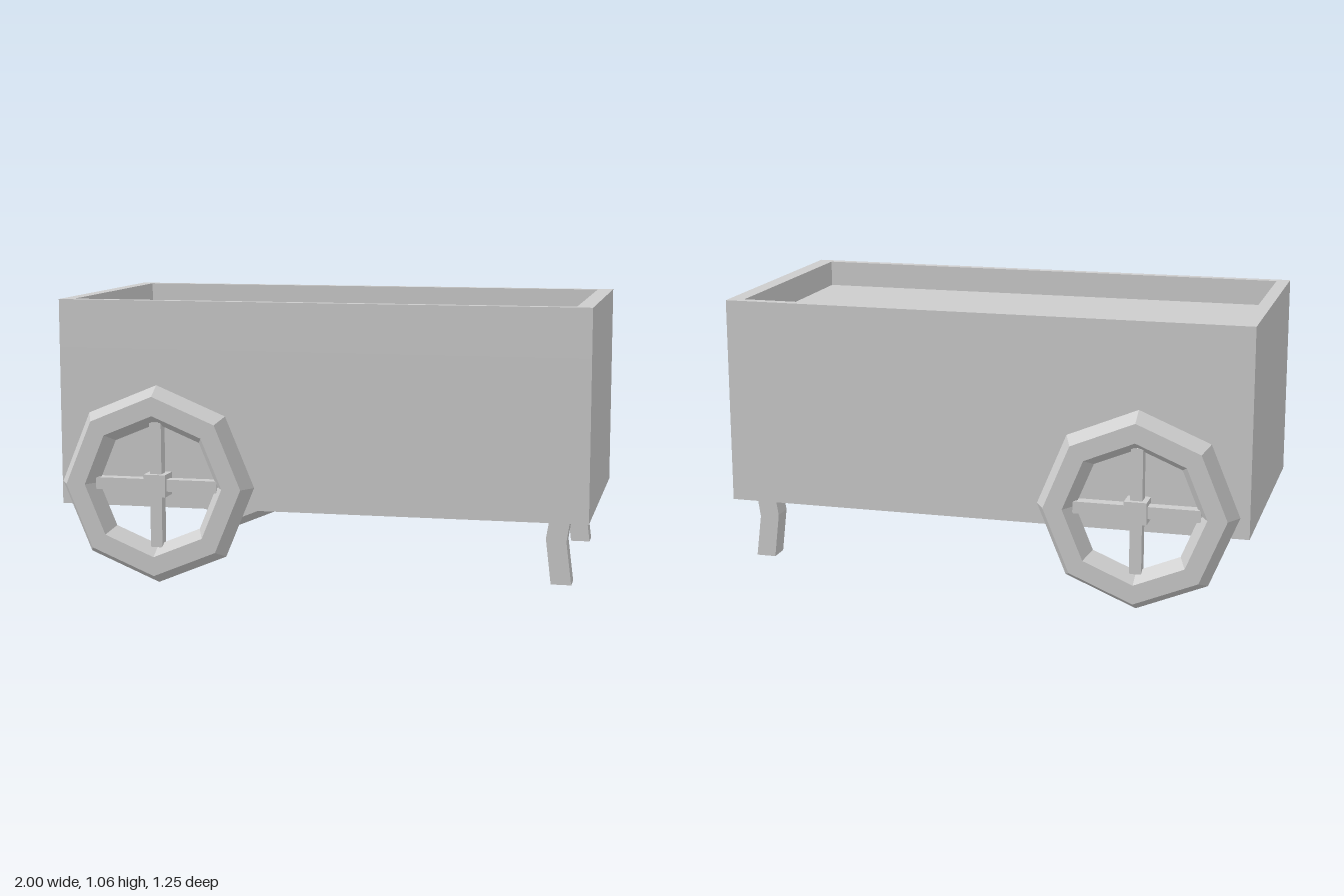
import * as THREE from 'three';

export function createModel() {
  const cart = new THREE.Group();
  cart.name = 'cart';
  const grey = new THREE.MeshStandardMaterial({ color: 0xcccccc, flatShading: true });
  grey.name = 'plainGrey';

  const add = (parent, name, geometry, x = 0, y = 0, z = 0) => {
    const mesh = new THREE.Mesh(geometry, grey);
    mesh.name = name;
    mesh.position.set(x, y, z);
    parent.add(mesh);
    return mesh;
  };
  const outline = (pts) => pts.map(([x, y]) => new THREE.Vector2(x, y));

  // Body: solid lower box, recessed deck and raised rim
  add(cart, 'body', new THREE.BoxGeometry(2, 0.6, 1), 0, 0.58, 0);
  add(cart, 'deck', new THREE.BoxGeometry(1.92, 0.08, 0.94), 0, 0.92, 0);
  const rim = new THREE.Shape(outline([[-1, -0.5], [1, -0.5], [1, 0.5], [-1, 0.5]]));
  rim.holes.push(new THREE.Path(outline([[-0.95, -0.463], [-0.95, 0.463], [0.94, 0.463], [0.94, -0.463]])));
  const rimGeometry = new THREE.ExtrudeGeometry(rim, { depth: 0.18, bevelEnabled: false });
  rimGeometry.rotateX(-Math.PI / 2);
  add(cart, 'rim', rimGeometry, 0, 0.88, 0);

  // Bent leg, drawn from the side and extruded across its width
  const legShape = new THREE.Shape(outline([
    [0.86, 0.04], [0.935, 0.04], [0.915, 0.2], [0.93, 0.3], [0.855, 0.3], [0.84, 0.21],
  ]));
  const legGeometry = new THREE.ExtrudeGeometry(legShape, { depth: 0.08, bevelEnabled: false });
  legGeometry.translate(0, 0, -0.04);

  for (const side of [1, -1]) {
    const prefix = side > 0 ? 'front' : 'back';
    add(cart, prefix + 'Leg', legGeometry, 0, 0, side * 0.4);

    // Eight-sided wheel with a hexagonal section, crossed spokes and a square hub
    const wheel = new THREE.Group();
    wheel.name = prefix + 'Wheel';
    wheel.position.set(-0.6, 0.378, side * 0.562);
    add(wheel, 'tyre', new THREE.TorusGeometry(0.301, 0.072, 6, 8));
    add(wheel, 'verticalSpoke', new THREE.BoxGeometry(0.045, 0.47, 0.045));
    add(wheel, 'horizontalSpoke', new THREE.BoxGeometry(0.47, 0.045, 0.045));
    add(wheel, 'hub', new THREE.BoxGeometry(0.084, 0.084, 0.084));
    cart.add(wheel);
  }
  return cart;
}
